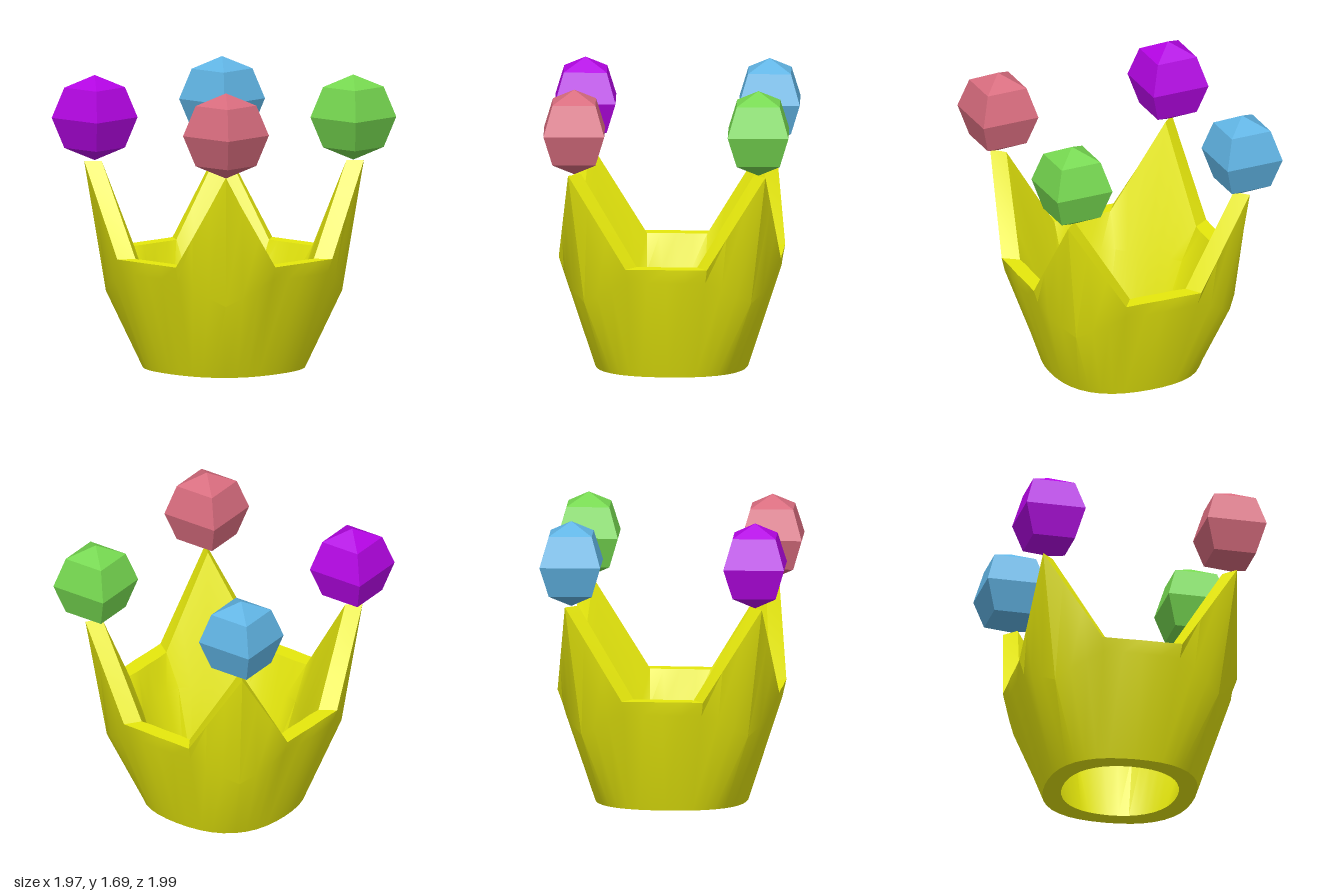
import * as THREE from 'three';
import { toCreasedNormals } from 'three/addons/utils/BufferGeometryUtils.js';

const TWIST = -0.04; // the whole crown is turned slightly about y
const TIP = 1.19, VALLEY = 0.66, INNER_KINK = 0.46;
const SPIKE_HALF = 0.434; // half the angle a spike takes up

// Point on a rounded-square ring: widest at the spikes, narrower between them
function ring(angle, y, radius, bulge) {
  const r = radius + bulge * Math.cos(4 * angle);
  return [r * Math.sin(angle), y, r * Math.cos(angle)];
}

// Closed wall section: up the outside, over the rim, down the inside
function section(angle, kinkY, outerRim, innerRim, innerKink) {
  return [
    ring(angle, 0, 0.452, 0.014),
    ring(angle, kinkY, 0.652, 0.024),
    outerRim, innerRim, innerKink,
    ring(angle, 0, 0.341, 0.006),
  ];
}

// Sections of one quarter, the spike pointing to +z
function quarterSections() {
  const list = [];
  // Spike with straight edges and a flat sloping inside
  for (let k = -3; k <= 3; k++) {
    const s = k / 3, t = Math.abs(s);
    const angle = s * SPIKE_HALF;
    const y = TIP - (TIP - VALLEY) * t;
    list.push(section(
      angle, 0.44 + 0.14 * t,
      [0.285 * s, y, 0.8 - 0.185 * t],
      [0.265 * s, y, 0.7 - 0.19 * t],
      [0.44 * Math.tan(angle), INNER_KINK, 0.44],
    ));
  }
  // Level valley up to the next spike
  const gap = Math.PI / 2 - 2 * SPIKE_HALF;
  for (let k = 1; k < 4; k++) {
    const angle = SPIKE_HALF + gap * k / 4;
    list.push(section(
      angle, 0.58,
      ring(angle, VALLEY, 0.668, 0.03),
      ring(angle, VALLEY, 0.57, 0.025),
      ring(angle, INNER_KINK, 0.485, 0),
    ));
  }
  return list;
}

function crownGeometry() {
  const sections = [];
  for (let q = 0; q < 4; q++) {
    const a = q * Math.PI / 2 + TWIST, c = Math.cos(a), s = Math.sin(a);
    for (const sec of quarterSections()) {
      sections.push(sec.map(([x, y, z]) => [x * c + z * s, y, z * c - x * s]));
    }
  }
  const pos = [];
  sections.forEach((a, i) => {
    const b = sections[(i + 1) % sections.length];
    a.forEach((p, j) => {
      const n = (j + 1) % a.length;
      pos.push(...p, ...b[j], ...b[n], ...p, ...b[n], ...a[n]);
    });
  });
  const geo = new THREE.BufferGeometry();
  geo.setAttribute('position', new THREE.Float32BufferAttribute(pos, 3));
  return toCreasedNormals(geo, 0.5);
}

export function createModel() {
  const model = new THREE.Group();
  model.name = 'crown';

  const band = new THREE.Mesh(
    crownGeometry(),
    new THREE.MeshStandardMaterial({ color: 0xe6e80c }),
  );
  band.name = 'spikedBand';
  model.add(band);

  // One faceted jewel over each spike
  const jewelGeo = new THREE.SphereGeometry(0.246, 4, 4);
  const jewels = [
    ['frontJewel', 0xd86c7e], ['leftJewel', 0x76d850],
    ['backJewel', 0x60b4e4], ['rightJewel', 0xb404e4],
  ];
  jewels.forEach(([name, color], i) => {
    const a = i * Math.PI / 2 + TWIST;
    const r = i % 2 ? 0.74 : 0.752;
    const jewel = new THREE.Mesh(
      jewelGeo,
      new THREE.MeshStandardMaterial({ color, flatShading: true }),
    );
    jewel.name = name;
    jewel.position.set(r * Math.sin(a), 1.44, r * Math.cos(a));
    model.add(jewel);
  });
  return model;
}
